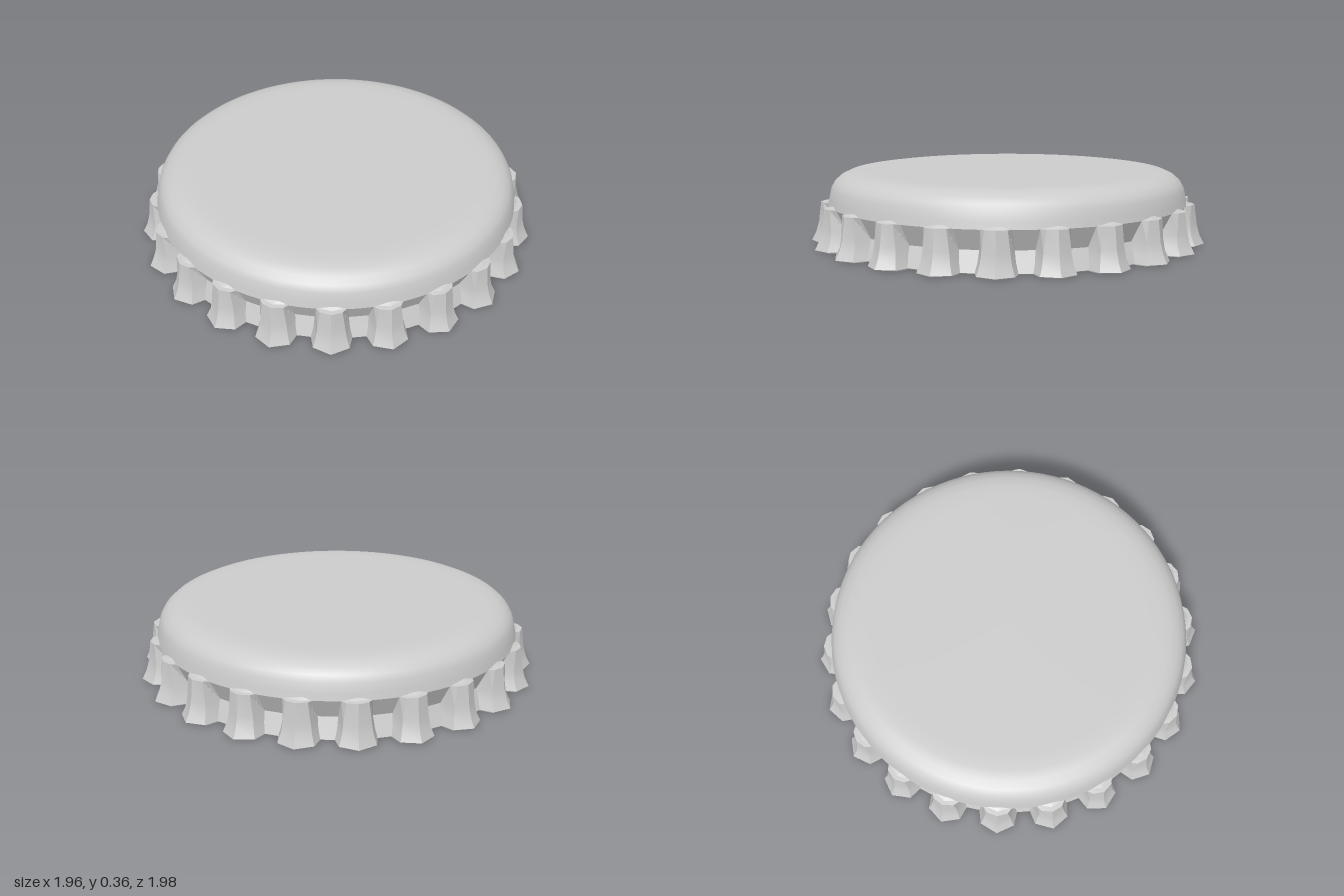
import * as THREE from 'three';
import { toCreasedNormals } from 'three/addons/utils/BufferGeometryUtils.js';

const CRIMPS = 22;
const PITCH = (Math.PI * 2) / CRIMPS;
const WALL = 0.02;

// Crimp cross-sections from top to bottom:
// height, crest radius, shoulder radius and half width, valley radius and half width of crest at its foot
const SECTIONS = [
  [0.2, 0.94, 0.925, 0.05, 0.9, 0.07],
  [0.1, 0.953, 0.925, 0.062, 0.85, 0.083],
  [0.05, 0.967, 0.932, 0.068, 0.868, 0.088],
  [0.004, 0.99, 0.95, 0.08, 0.885, 0.098],
];

// One closed ring of points, five per crimp
function crimpRing([y, crestR, shoulderR, shoulderW, valleyR, footW], inset = 0) {
  const ring = [];
  for (let i = 0; i < CRIMPS; i++) {
    const steps = [[-footW, valleyR], [-shoulderW, shoulderR], [0, crestR], [shoulderW, shoulderR], [footW, valleyR]];
    for (const [offset, r] of steps) {
      const a = i * PITCH + offset / 0.92;
      ring.push([Math.sin(a) * (r - inset), y, Math.cos(a) * (r - inset)]);
    }
  }
  return ring;
}

// Same columns on a plain circle, used where the skirt meets the crown
function roundRing(y, r) {
  const [, , , sw, , fw] = SECTIONS[0];
  return crimpRing([y, r, r, sw, r, fw]);
}

// Skin quads between consecutive rings
function loft(rings) {
  const n = rings[0].length;
  const index = [];
  for (let j = 0; j < rings.length - 1; j++) {
    for (let i = 0; i < n; i++) {
      const k = (i + 1) % n;
      const a = j * n + i, b = a + n, c = (j + 1) * n + k, d = j * n + k;
      index.push(a, b, c, a, c, d);
    }
  }
  const g = new THREE.BufferGeometry();
  g.setAttribute('position', new THREE.Float32BufferAttribute(rings.flat(2), 3));
  g.setIndex(index);
  return g;
}

export function createModel() {
  const group = new THREE.Group();
  group.name = 'bottleCap';
  const material = new THREE.MeshStandardMaterial({ color: 0xcccccc, side: THREE.DoubleSide });

  const add = (name, geometry) => {
    const mesh = new THREE.Mesh(geometry, material);
    mesh.name = name;
    group.add(mesh);
  };
  const lathe = (points) => new THREE.LatheGeometry(points.map(([r, y]) => new THREE.Vector2(r, y)), 88);

  // Crown: rounded shoulder and flat top
  add('crown', lathe([
    [0.902, 0.198], [0.895, 0.23], [0.885, 0.275], [0.868, 0.305],
    [0.84, 0.33], [0.8, 0.348], [0.75, 0.355], [0.68, 0.357], [0, 0.357],
  ]));

  // Underside of the crown
  add('crownLining', lathe([
    [0, 0.337], [0.68, 0.337], [0.76, 0.333], [0.82, 0.313],
    [0.855, 0.285], [0.87, 0.25], [0.877, 0.22],
  ]));

  // Crimped skirt: ledge, outer wall, bottom rim, inner wall
  const inner = SECTIONS.map((s) => crimpRing(s, WALL)).reverse();
  inner[0].forEach((p) => { p[1] = 0; });
  const skirt = loft([
    roundRing(0.203, 0.885),
    ...SECTIONS.map((s) => crimpRing(s)),
    crimpRing([0, ...SECTIONS[3].slice(1)], 0.004),
    ...inner,
    roundRing(0.222, 0.877),
  ]);
  add('crimpedSkirt', toCreasedNormals(skirt, Math.PI / 9));

  return group;
}
